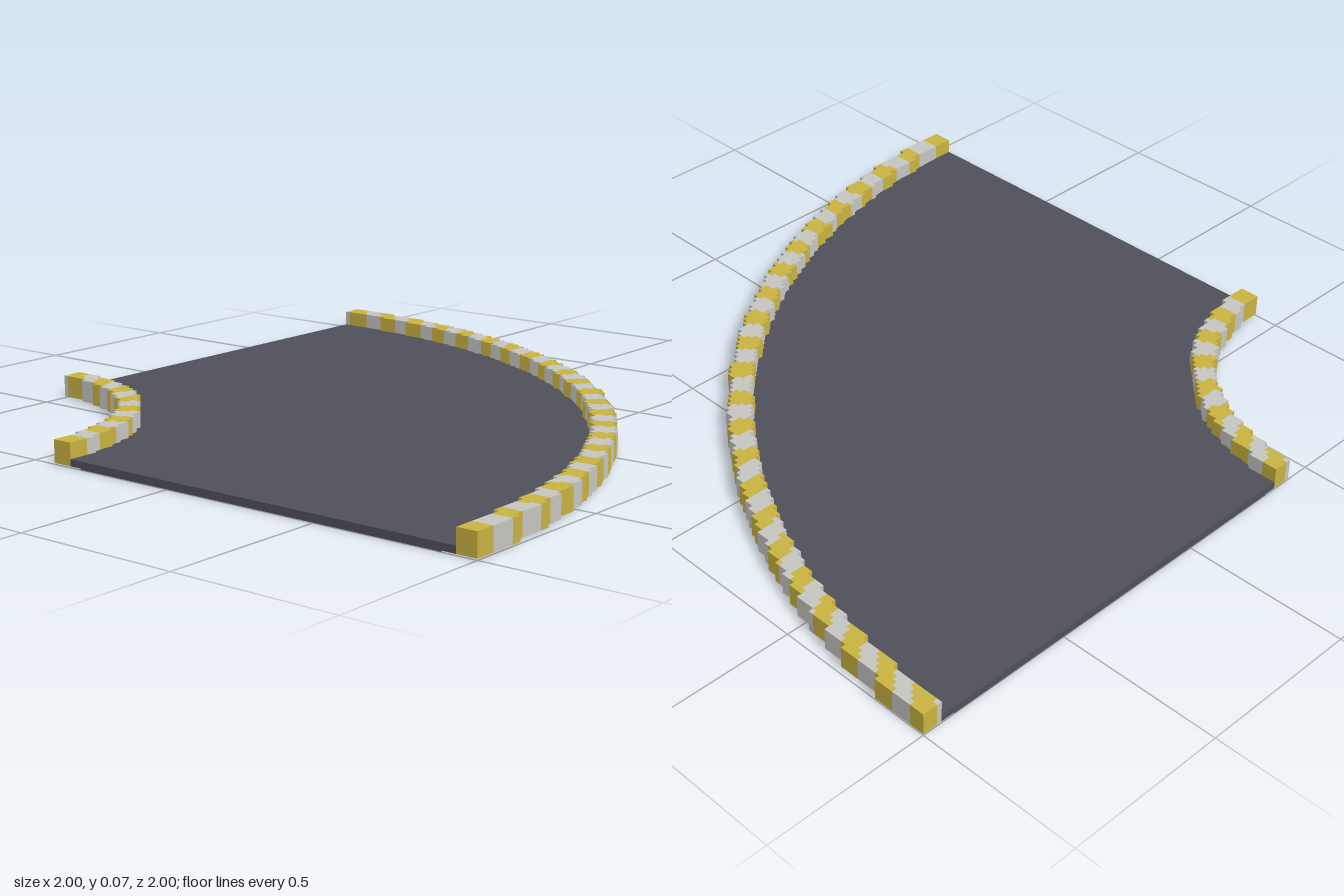
import * as THREE from 'three';
import { mergeGeometries } from 'three/addons/utils/BufferGeometryUtils.js';

const S = 1 / 64; // kerb grid step
const mat = (name, color) => Object.assign(new THREE.MeshStandardMaterial({ color }), { name });

// Flat quarter ring about the corner (-1, 1), extruded upward from y0 to y1
function quarterRing(name, r0, r1, y0, y1, material) {
  const shape = new THREE.Shape();
  shape.absarc(-1, -1, r1, 0, Math.PI / 2, false);
  shape.absarc(-1, -1, r0, Math.PI / 2, 0, true);
  const geo = new THREE.ExtrudeGeometry(shape, { depth: y1 - y0, bevelEnabled: false, curveSegments: 64 });
  geo.rotateX(-Math.PI / 2).translate(0, y0, 0);
  const mesh = new THREE.Mesh(geo, material);
  mesh.name = name;
  return mesh;
}

// Stepped kerb: each grid row becomes boxes, split where the stripe colour changes
function kerb(name, r0, r1, stripes, materials) {
  const boxes = [[], []];
  const mid = (r0 + r1) / 2;
  const colourAt = (x, z) => {
    const r = Math.hypot(x, z);
    if (r < r0 || r >= r1) return -1;
    const a = Math.atan2(z, x);
    // stripes lean over on the back half of the bend
    const lean = Math.max(0, -Math.cos(2 * a)) * (r - mid) / mid;
    const k = Math.floor((a - lean) / (Math.PI / 2) * stripes);
    return ((k % 2) + 2) % 2;
  };
  for (let j = 0; j < r1; j++) {
    let start = 0, current = -1;
    for (let i = 0; i <= r1; i++) {
      const c = colourAt(i + 0.5, j + 0.5);
      if (c === current) continue;
      if (current >= 0) {
        const box = new THREE.BoxGeometry((i - start) * S, 0.066, S);
        box.translate(-1 + (start + i) / 2 * S, 0.037, 1 - (j + 0.5) * S);
        boxes[current].push(box);
      }
      start = i;
      current = c;
    }
  }
  const group = new THREE.Group();
  group.name = name;
  boxes.forEach((list, c) => {
    const mesh = new THREE.Mesh(mergeGeometries(list), materials[c]);
    mesh.name = name + (c ? 'PaleStripes' : 'YellowStripes');
    group.add(mesh);
  });
  return group;
}

export function createModel() {
  const asphalt = mat('asphalt', 0x50505b);
  const stripes = [mat('kerbYellow', 0xc9b341), mat('kerbPale', 0xc6c6c2)];
  const purple = mat('purpleLine', 0x7a4a80);
  const teal = mat('tealLine', 0x3f8f8f);

  const model = new THREE.Group();
  model.name = 'roadBend';
  model.add(
    // road slab with a slightly narrower base
    quarterRing('roadSurface', 0.64, 1.9375, 0.004, 0.024, asphalt),
    quarterRing('roadBase', 0.68, 1.89, 0.001, 0.004, asphalt),
    // fine lines along the underside edges
    quarterRing('outerUndersideLine', 1.887, 1.892, 0, 0.004, purple),
    quarterRing('innerUndersideLine', 0.678, 0.683, 0, 0.004, teal),
    // striped kerbs
    kerb('outerKerb', 124, 128, 45, stripes),
    kerb('innerKerb', 37, 41, 15, stripes),
  );
  return model;
}
